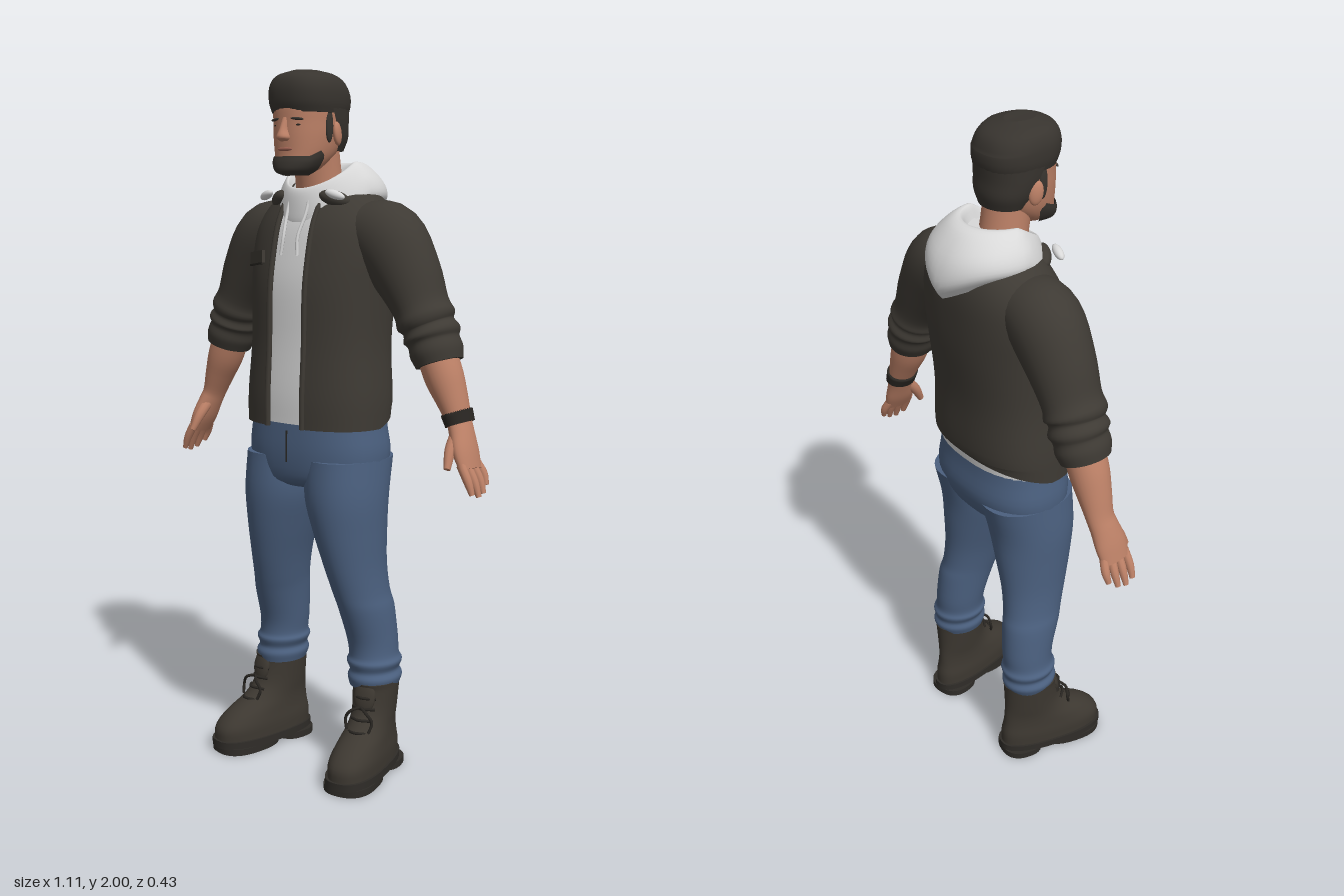
import * as THREE from 'three';

const mat = (name, color, side = THREE.FrontSide) =>
  Object.assign(new THREE.MeshStandardMaterial({ color, side }), { name });
const M = {
  jacket: mat('jacket charcoal', 0x3e3a34, THREE.DoubleSide),
  hoodie: mat('hoodie white', 0xd8d8d8, THREE.DoubleSide),
  jeans: mat('denim blue', 0x4b607f),
  skin: mat('skin', 0xbd8167),
  hair: mat('hair dark', 0x38342f, THREE.DoubleSide),
  boot: mat('boot leather', 0x3d3831),
  sole: mat('rubber sole', 0x2f2c28),
  seam: mat('dark trim', 0x292622),
  lip: mat('lips', 0x9c6152),
};

// Lofts superellipse sections [x, y, z, ru, rv, n]. Flat rings lie level and are listed bottom to top;
// otherwise rings stand across the path. "gap" leaves a front opening of that half width; "arc" sets the angles.
function loft(secs, { seg = 36, steps = 4, flat = true, gap = 0, arc = null, warp = null } = {}) {
  const curve = (f) => new THREE.CatmullRomCurve3(secs.map(f), false, 'catmullrom', 0.5);
  const path = curve((s) => new THREE.Vector3(s[0], s[1], s[2]));
  const size = curve((s) => new THREE.Vector3(s[3], s[4], s[5] ?? 2));
  const open = gap > 0 || arc !== null;
  const rings = (secs.length - 1) * steps, cols = open ? seg + 1 : seg;
  const pos = [], idx = [], zAxis = new THREE.Vector3(0, 0, 1);
  const pw = (v, n) => Math.sign(v) * Math.abs(v) ** (2 / n);
  for (let i = 0; i <= rings; i++) {
    const t = i / rings, c = path.getPoint(t), r = size.getPoint(t);
    const d = flat ? new THREE.Vector3(0, 1, 0)
      : path.getPoint(Math.min(1, t + 0.01)).sub(path.getPoint(Math.max(0, t - 0.01))).normalize();
    const u = d.clone().cross(zAxis).normalize(), v = u.clone().cross(d);
    let a0 = 0, a1 = Math.PI * 2;
    if (arc) [a0, a1] = arc;
    if (gap) {
      const g = Math.PI / 2 - Math.acos(Math.min(0.95, (gap / r.x) ** (r.z / 2)));
      a0 = Math.PI / 2 + g;
      a1 = Math.PI * 2.5 - g;
    }
    for (let j = 0; j < cols; j++) {
      const a = a0 + (a1 - a0) * j / seg;
      const p = c.clone().addScaledVector(u, r.x * pw(Math.cos(a), r.z)).addScaledVector(v, r.y * pw(Math.sin(a), r.z));
      if (warp) warp(p, t);
      pos.push(p.x, p.y, p.z);
    }
  }
  for (let i = 0; i < rings; i++) for (let j = 0; j < seg; j++) {
    const a = i * cols + j, b = i * cols + (j + 1) % cols;
    idx.push(a, a + cols, b, b, a + cols, b + cols);
  }
  if (!open) for (const end of [0, rings]) {
    const base = pos.length / 3, ring = pos.slice(end * cols * 3, (end + 1) * cols * 3);
    const mid = [0, 1, 2].map((k) => ring.reduce((s, v, i) => (i % 3 === k ? s + v : s), 0) / cols);
    pos.push(...ring, ...mid);
    for (let j = 0; j < cols; j++) {
      const a = base + j, b = base + (j + 1) % cols;
      idx.push(...(end ? [a, base + cols, b] : [a, b, base + cols]));
    }
  }
  const g = new THREE.BufferGeometry();
  g.setAttribute('position', new THREE.Float32BufferAttribute(pos, 3));
  g.setIndex(idx);
  g.computeVertexNormals();
  return g;
}

function add(parent, name, geo, material, p = [0, 0, 0], r = [0, 0, 0], s = [1, 1, 1]) {
  const m = new THREE.Mesh(geo, material);
  m.name = name;
  m.position.set(...p);
  m.rotation.set(...r);
  m.scale.set(...s);
  parent.add(m);
  return m;
}
const tube = (pts, r) =>
  new THREE.TubeGeometry(new THREE.CatmullRomCurve3(pts.map((p) => new THREE.Vector3(...p))), 14, r, 6);
const ball = new THREE.SphereGeometry(1, 20, 14);

function buildTorso(g) {
  const body = [
    [0, 1.02, 0.005, 0.222, 0.152, 2.4], [0, 1.11, 0, 0.222, 0.157, 2.4], [0, 1.25, -0.005, 0.212, 0.154, 2.4],
    [0, 1.4, -0.015, 0.216, 0.16, 2.4], [0, 1.5, -0.025, 0.222, 0.155, 2.4], [0, 1.58, -0.034, 0.215, 0.145, 2.3],
    [0, 1.64, -0.042, 0.182, 0.125, 2.2], [0, 1.685, -0.045, 0.135, 0.1, 2], [0, 1.71, -0.045, 0.09, 0.08, 2]];
  add(g, 'jacketBody', loft(body, {
    gap: 0.062, seg: 56,
    warp: (p) => { if (p.y < 1.08 && p.z < 0) p.y += -p.z * 0.36 * (1.11 - p.y) / 0.09; },
  }), M.jacket);
  // Shirt fills the open front
  add(g, 'shirt', loft(body.map(([x, y, z, a, b, n]) => [x, y + 0.01, z, a - 0.012, b - 0.01, n])), M.hoodie);
  for (const s of [-1, 1]) {
    const edge = body.slice(0, 8).map(([, y, z, a, b, n]) =>
      [s * 0.064, y, z + b * (1 - (0.064 / a) ** n) ** (1 / n), 0.008, 0.008]);
    add(g, 'jacketFrontEdge', loft(edge, { flat: true, seg: 8 }), M.jacket);
    add(g, 'jacketCollar', ball, M.jacket, [s * 0.1, 1.655, 0.055], [0.5, s * 0.4, s * -0.5], [0.045, 0.022, 0.022]);
    add(g, 'hoodTip', ball, M.hoodie, [s * 0.125, 1.665, 0.085], [0, s * 0.3, s * -0.3], [0.03, 0.012, 0.013]);
    add(g, 'drawstring', tube([[s * 0.035, 1.66, 0.085], [s * 0.034, 1.61, 0.102], [s * 0.026, 1.55, 0.126],
      [s * 0.03, 1.5, 0.133]], 0.005), M.hoodie);
  }
  add(g, 'pocketFlap', new THREE.BoxGeometry(0.095, 0.035, 0.009), M.jacket, [-0.143, 1.49, 0.106], [-0.05, -0.47, 0.08]);
  add(g, 'pocketSeam', new THREE.BoxGeometry(0.095, 0.005, 0.009), M.seam, [-0.143, 1.471, 0.108], [-0.05, -0.47, 0.08]);
  // Hood lies round the neck, low in front, with a point down the back
  add(g, 'hood', loft([
    [0, 1.635, -0.05, 0.135, 0.135], [0, 1.665, -0.055, 0.158, 0.155], [0, 1.705, -0.05, 0.148, 0.15],
    [0, 1.745, -0.03, 0.118, 0.125], [0, 1.755, -0.015, 0.097, 0.1], [0, 1.72, -0.01, 0.083, 0.085]], {
    seg: 48,
    warp: (p, t) => {
      p.y -= 0.62 * Math.max(0, p.z + 0.03);
      const back = Math.max(0, -p.z - 0.08) / 0.12, mid = Math.max(0, 1 - Math.abs(p.x) / 0.15);
      p.y -= 0.075 * back * mid * Math.max(0, 1 - t * 1.6);
      p.z -= 0.015 * back * mid * Math.max(0, 1 - t * 1.6);
    },
  }), M.hoodie);
}

function buildHead(g) {
  add(g, 'neck', loft([[0, 1.6, -0.02, 0.085, 0.075], [0, 1.69, 0, 0.068, 0.066], [0, 1.8, 0.02, 0.066, 0.066]]), M.skin);
  add(g, 'face', loft([
    [0, 1.722, 0.095, 0.035, 0.04], [0, 1.74, 0.085, 0.058, 0.066, 2.2], [0, 1.775, 0.062, 0.076, 0.088, 2.2],
    [0, 1.82, 0.047, 0.086, 0.104, 2.2], [0, 1.86, 0.044, 0.089, 0.106, 2.2], [0, 1.91, 0.044, 0.09, 0.104, 2.2],
    [0, 1.95, 0.042, 0.075, 0.09]]), M.skin);
  add(g, 'beard', loft([[0, 1.717, 0.095, 0.034, 0.045], [0, 1.728, 0.088, 0.058, 0.072, 2.2],
    [0, 1.75, 0.08, 0.073, 0.08, 2.2], [0, 1.768, 0.07, 0.077, 0.084, 2.2]], {
    arc: [-0.15, Math.PI + 0.15],
    warp: (p, t) => { p.y += t * 0.45 * Math.max(0, 0.12 - p.z); },
  }), M.hair);
  // Swept cap of hair and shorter back and sides
  add(g, 'hairTop', loft([
    [0, 1.885, 0.04, 0.096, 0.106, 2.3], [0, 1.915, 0.042, 0.102, 0.113, 2.4], [0, 1.955, 0.045, 0.1, 0.11, 2.4],
    [0, 1.985, 0.048, 0.082, 0.092, 2.2], [0, 2, 0.055, 0.035, 0.045]], {
    warp: (p) => { if (p.z < 0.03) p.y += (p.z - 0.03) * 0.15 * (p.y > 1.94 ? 1 : 0.3); },
  }), M.hair);
  add(g, 'hairBack', loft([[0, 1.785, 0.0, 0.07, 0.06], [0, 1.82, 0.01, 0.086, 0.078, 2.2], [0, 1.86, 0.025, 0.095, 0.092, 2.2],
    [0, 1.9, 0.04, 0.099, 0.109, 2.3]], { arc: [Math.PI - 0.15, Math.PI * 2 + 0.15] }), M.hair);
  add(g, 'nose', loft([[0, 1.808, 0.148, 0.012, 0.012], [0, 1.818, 0.151, 0.02, 0.023],
    [0, 1.84, 0.148, 0.012, 0.018], [0, 1.872, 0.142, 0.01, 0.01]], { seg: 16 }), M.skin);
  add(g, 'mouth', ball, M.lip, [0, 1.787, 0.147], [0, 0, 0], [0.026, 0.006, 0.006]);
  for (const s of [-1, 1]) {
    add(g, 'ear', ball, M.skin, [s * 0.092, 1.83, 0.035], [0.15, s * 0.35, 0], [0.011, 0.033, 0.02]);
    add(g, 'sideburn', ball, M.hair, [s * 0.086, 1.85, 0.062], [0, 0, 0], [0.008, 0.045, 0.014]);
    add(g, 'eye', ball, M.seam, [s * 0.036, 1.851, 0.139], [0, s * 0.25, 0], [0.012, 0.004, 0.004]);
    add(g, 'eyebrow', ball, M.hair, [s * 0.038, 1.867, 0.141], [0, s * 0.25, s * -0.08], [0.021, 0.004, 0.005]);
  }
}

function buildArm(g, s) {
  const side = (secs) => secs.map(([x, ...rest]) => [s * x, ...rest]);
  const tubeLoft = (secs, seg = 28) => loft(side(secs), { flat: false, seg });
  add(g, 'sleeve', tubeLoft([
    [0.13, 1.58, -0.035, 0.075, 0.09], [0.215, 1.54, -0.035, 0.108, 0.1], [0.283, 1.45, -0.035, 0.096, 0.093],
    [0.33, 1.365, -0.035, 0.076, 0.085], [0.348, 1.33, -0.035, 0.08, 0.09], [0.356, 1.312, -0.036, 0.069, 0.08],
    [0.366, 1.29, -0.037, 0.077, 0.088], [0.373, 1.272, -0.037, 0.068, 0.079], [0.384, 1.245, -0.036, 0.07, 0.081],
    [0.395, 1.215, -0.035, 0.063, 0.072]]), M.jacket);
  add(g, 'forearm', tubeLoft([
    [0.38, 1.25, -0.035, 0.054, 0.056], [0.41, 1.18, -0.035, 0.053, 0.056], [0.437, 1.12, -0.036, 0.042, 0.049],
    [0.46, 1.065, -0.036, 0.031, 0.042], [0.475, 1.03, -0.03, 0.029, 0.044], [0.493, 0.985, -0.022, 0.026, 0.05],
    [0.512, 0.94, -0.018, 0.018, 0.046]]), M.skin);
  for (let i = 0; i < 4; i++) {
    const z = 0.017 - i * 0.024, l = [0.9, 1, 0.93, 0.72][i];
    add(g, 'finger', tubeLoft([[0.505, 0.955, z, 0.013, 0.013], [0.505 + 0.026 * l, 0.955 - 0.045 * l, z * 1.15, 0.012, 0.012],
      [0.505 + 0.042 * l, 0.955 - 0.085 * l, z * 1.1, 0.007, 0.008]], 10), M.skin);
  }
  add(g, 'thumb', tubeLoft([[0.468, 1.03, -0.012, 0.018, 0.018], [0.472, 0.99, 0.022, 0.015, 0.016],
    [0.48, 0.945, 0.046, 0.009, 0.01]], 12), M.skin);
  if (s > 0) add(g, 'wristBand', tubeLoft([[0.452, 1.088, -0.036, 0.041, 0.051], [0.464, 1.056, -0.036, 0.037, 0.049]]), M.seam);
}

function buildLeg(g, s) {
  // Trouser leg with bunched folds above the boot
  add(g, 'trouserLeg', loft([
    [0.18, 0.26, -0.035, 0.068, 0.08], [0.18, 0.285, -0.037, 0.075, 0.087], [0.178, 0.305, -0.038, 0.067, 0.08],
    [0.177, 0.33, -0.038, 0.077, 0.087], [0.175, 0.35, -0.038, 0.069, 0.079], [0.17, 0.4, -0.036, 0.07, 0.082],
    [0.162, 0.49, -0.018, 0.073, 0.094], [0.153, 0.54, -0.005, 0.073, 0.097], [0.141, 0.62, 0.008, 0.08, 0.107],
    [0.127, 0.72, 0.015, 0.096, 0.122], [0.115, 0.82, 0.016, 0.11, 0.132, 2.1], [0.11, 0.93, 0, 0.109, 0.142, 2.2]]
    .map(([x, ...r]) => [s * x, ...r])), M.jeans);
  // Boot turns outward
  const b = new THREE.Group();
  b.name = 'boot';
  b.position.set(s * 0.186, 0, -0.035);
  b.rotation.y = s * 0.2;
  g.add(b);
  const taper = (p) => { p.x *= 1 + 0.75 * (p.z - 0.07); };
  add(b, 'bootUpper', loft([
    [0, 0.035, 0.072, 0.066, 0.168, 2.4], [0, 0.075, 0.07, 0.067, 0.166, 2.4], [0, 0.112, 0.055, 0.063, 0.145, 2.2],
    [0, 0.15, 0.024, 0.06, 0.111], [0, 0.19, 0.005, 0.062, 0.09], [0, 0.25, -0.003, 0.067, 0.084],
    [0, 0.275, -0.003, 0.069, 0.086]], { warp: taper }), M.boot);
  const slab = (y0, y1, z, a, c) => loft([[0, y0, z, a, c, 2.5], [0, y1, z, a, c, 2.5]], { warp: taper, steps: 1 });
  add(b, 'sole', slab(0.018, 0.04, 0.072, 0.072, 0.174), M.sole);
  add(b, 'treadFront', slab(0, 0.02, 0.135, 0.069, 0.105), M.sole);
  add(b, 'heel', slab(0, 0.02, -0.035, 0.072, 0.065), M.sole);
  add(b, 'bootTongue', ball, M.boot, [0, 0.24, 0.074], [-0.2, 0, 0], [0.034, 0.05, 0.016]);
  for (let i = 0; i < 4; i++) {
    const y = 0.145 + i * 0.03, z = [0.137, 0.113, 0.099, 0.093][i];
    add(b, 'lace', tube([[-0.034, y, z - 0.022], [0, y + 0.006, z + 0.002], [0.034, y, z - 0.022]], 0.0045), M.seam);
  }
  for (const k of [-1, 1]) add(b, 'laceBow', tube([[0, 0.215, 0.1], [k * 0.025, 0.205, 0.115],
    [k * 0.042, 0.18, 0.112], [k * 0.035, 0.15, 0.12]], 0.0045), M.seam);
}

export function createModel() {
  const g = new THREE.Group();
  g.name = 'standingMan';
  buildTorso(g);
  buildHead(g);
  // Trouser seat and fly
  add(g, 'trouserHips', loft([[0, 0.845, 0.012, 0.1, 0.1], [0, 0.87, 0.008, 0.2, 0.13, 2.3], [0, 0.94, 0, 0.22, 0.147, 2.4],
    [0, 1.02, 0.002, 0.211, 0.142, 2.4], [0, 1.09, 0, 0.203, 0.138, 2.4]]), M.jeans);
  add(g, 'fly', new THREE.BoxGeometry(0.004, 0.09, 0.006), M.seam, [0, 0.965, 0.145]);
  for (const s of [-1, 1]) {
    for (const [name, build] of [[s > 0 ? 'leftArm' : 'rightArm', buildArm], [s > 0 ? 'leftLeg' : 'rightLeg', buildLeg]]) {
      const limb = new THREE.Group();
      limb.name = name;
      build(limb, s);
      g.add(limb);
    }
  }
  return g;
}
